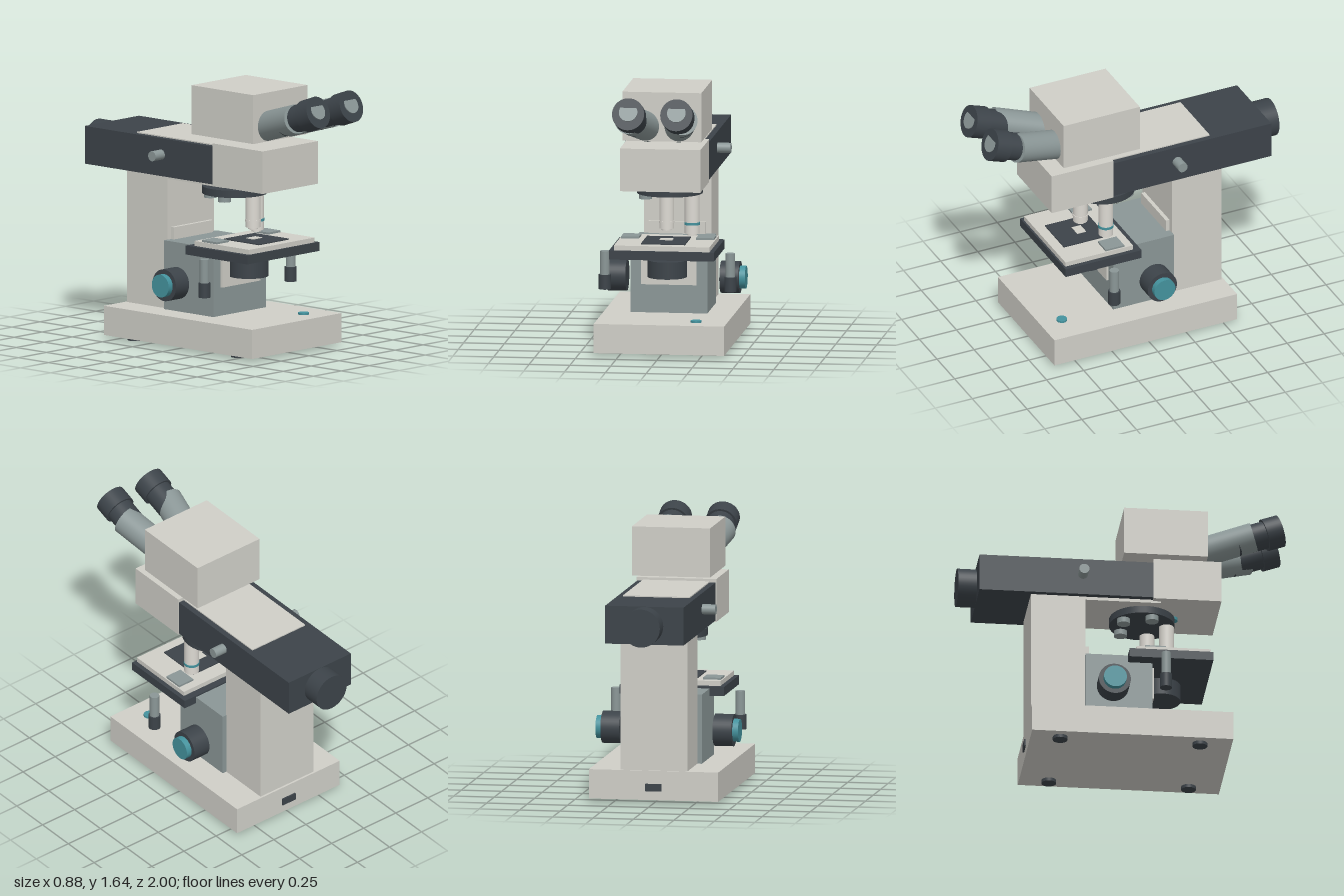
import * as THREE from 'three';

const mat = (name, color) => {
  const m = new THREE.MeshStandardMaterial({ color });
  m.name = name;
  return m;
};

export function createModel() {
  const root = new THREE.Group();
  root.name = 'microscope';
  const light = mat('warm grey enamel', 0xcfcec7);
  const dark = mat('charcoal', 0x3c4349);
  const grey = mat('steel grey', 0x8a9696);
  const pale = mat('pale metal', 0xdcd9d2);
  const teal = mat('teal', 0x44929d);

  const add = (name, geometry, material, x, y, z) => {
    const mesh = new THREE.Mesh(geometry, material);
    mesh.name = name;
    mesh.position.set(x, y, z);
    root.add(mesh);
    return mesh;
  };
  // Box given by its extents on each axis
  const box = (name, m, [x0, x1], [y0, y1], [z0, z1]) =>
    add(name, new THREE.BoxGeometry(x1 - x0, y1 - y0, z1 - z0), m,
      (x0 + x1) / 2, (y0 + y1) / 2, (z0 + z1) / 2);
  // Upright cylinder between two heights
  const post = (name, m, r, x, z, y0, y1) =>
    add(name, new THREE.CylinderGeometry(r, r, y1 - y0, 40), m, x, (y0 + y1) / 2, z);
  // Cylinder between two points
  const rod = (name, m, r, a, b) => {
    const p = new THREE.Vector3(...a), q = new THREE.Vector3(...b);
    const d = q.clone().sub(p), c = p.clone().add(q).multiplyScalar(0.5);
    const mesh = add(name, new THREE.CylinderGeometry(r, r, d.length(), 40), m, c.x, c.y, c.z);
    mesh.quaternion.setFromUnitVectors(new THREE.Vector3(0, 1, 0), d.normalize());
    return mesh;
  };

  // Base with feet, power lamp and rear switch
  box('base', light, [-0.4, 0.4], [0.02, 0.2], [-0.58, 0.65]);
  for (const x of [-0.315, 0.315])
    for (const z of [-0.4, 0.455]) post('foot', dark, 0.045, x, z, 0, 0.02);
  post('powerLamp', teal, 0.033, 0.21, 0.51, 0.2, 0.212);
  box('powerSwitch', dark, [-0.05, 0.05], [0.075, 0.12], [-0.59, -0.58]);

  // Column and focus block
  box('column', light, [-0.207, 0.207], [0.2, 1.02], [-0.567, -0.232]);
  box('columnPlate', light, [-0.175, 0.175], [0.6, 0.7], [-0.232, -0.208]);
  box('focusBlock', grey, [-0.235, 0.235], [0.2, 0.625], [-0.235, 0.175]);
  box('condenserPanel', light, [-0.17, 0.17], [0.375, 0.6], [0.175, 0.19]);
  post('condenser', dark, 0.12, 0, 0.25, 0.435, 0.54);

  // Arm with cover, lamp housing and underside plate
  box('arm', dark, [-0.242, 0.242], [1.02, 1.253], [-0.885, 0.18]);
  box('armCover', light, [-0.206, 0.206], [1.253, 1.26], [-0.487, 0.18]);
  box('armUnderside', light, [-0.205, 0.205], [1.0, 1.02], [-0.232, 0.23]);
  rod('lampHousing', dark, 0.117, [0, 1.135, -0.82], [0, 1.135, -1]);

  // Front head and binocular housing
  box('frontHead', light, [-0.247, 0.247], [1.012, 1.275], [0.18, 0.595]);
  box('binocularHousing', light, [-0.242, 0.242], [1.31, 1.612], [0, 0.512]);

  // Revolving nosepiece with two objectives and three capped ports
  const hub = 0.135;
  post('nosepiece', dark, 0.2, 0, hub, 0.935, 0.98);
  post('nosepieceMarker', teal, 0.033, 0, 0.32, 0.98, 0.998);
  for (let i = 0; i < 5; i++) {
    const a = i * Math.PI * 2 / 5;
    const x = 0.15 * Math.sin(a), z = hub + 0.15 * Math.cos(a);
    if (i > 1) {
      post('portCap', grey, 0.04, x, z, 0.902, 0.935);
      continue;
    }
    const bottom = i ? 0.695 : 0.74;
    post('objective', pale, 0.045, x, z, bottom, 0.935);
    post('objectiveTip', pale, 0.03, x, z, bottom - 0.012, bottom);
    post('objectiveBand', i ? teal : pale, 0.048, x, z, i ? 0.748 : 0.775, i ? 0.764 : 0.788);
  }

  // Stage
  box('stage', dark, [-0.322, 0.322], [0.58, 0.635], [0.025, 0.537]);
  box('stageTop', light, [-0.293, 0.293], [0.635, 0.665], [0.07, 0.525]);
  box('stageInsert', dark, [-0.135, 0.135], [0.665, 0.671], [0.17, 0.46]);
  box('specimen', light, [-0.04, 0.04], [0.671, 0.675], [0.265, 0.325]);

  // Paired controls and eyepieces
  for (const s of [-1, 1]) {
    box('stageClip', grey, [s * 0.23 - 0.055, s * 0.23 + 0.055], [0.665, 0.677], [0.125, 0.25]);
    post('stageControlShaft', grey, 0.029, s * 0.385, 0.24, 0.44, 0.585);
    post('stageControlKnob', dark, 0.037, s * 0.385, 0.24, 0.35, 0.44);
    rod('focusKnob', dark, 0.098, [s * 0.288, 0.388, -0.075], [s * 0.405, 0.388, -0.075]);
    rod('fineFocusKnob', teal, 0.07, [s * 0.405, 0.388, -0.075], [s * 0.441, 0.388, -0.075]);
    rod('armKnob', grey, 0.031, [s * 0.242, 1.153, -0.252], [s * 0.325, 1.153, -0.252]);

    // Splayed tube pushed into a straight sleeve and eyecup
    const x = s * 0.148;
    rod('eyeTube', grey, 0.09, [s * 0.093, 1.384, 0.435], [s * 0.166, 1.49, 0.8]);
    rod('eyeSleeve', dark, 0.085, [x, 1.452, 0.69], [x, 1.52, 0.88]);
    rod('eyecup', dark, 0.099, [x, 1.514, 0.868], [x, 1.548, 0.964]);
    // Lens leans back so its upper edge sinks into the cup
    const lens = add('eyeLens', new THREE.CylinderGeometry(0.057, 0.057, 0.006, 40), grey, x, 1.559, 0.9605);
    lens.rotation.x = Math.PI / 2 - 0.34 - 0.12;
  }
  return root;
}
